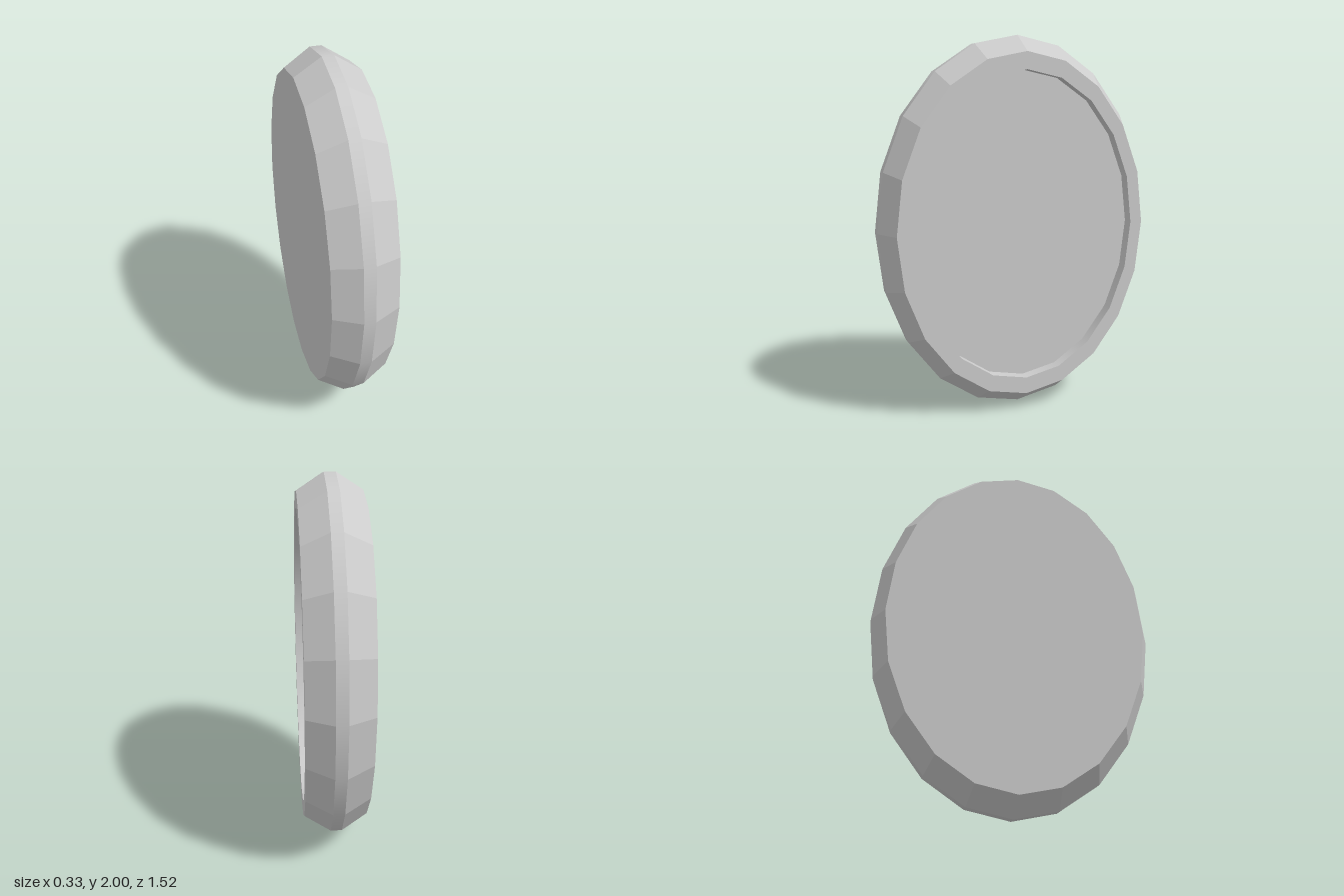
import * as THREE from 'three';

const SIDES = 20;
const DEPTH_RATIO = 0.76; // oval: z radius relative to y radius
const HALF = 0.167;       // half thickness along x
const FLOOR = 0.107;      // x of the recessed floor

const smooth = new THREE.MeshStandardMaterial({ color: 0xcccccc });
const faceted = new THREE.MeshStandardMaterial({ color: 0xcccccc, flatShading: true });

export function createModel() {
  const model = new THREE.Group();
  model.name = 'ovalDisc';

  const add = (name, geometry, material) => {
    geometry.scale(1, 1, DEPTH_RATIO);
    const mesh = new THREE.Mesh(geometry, material);
    mesh.name = name;
    mesh.position.y = 1;
    model.add(mesh);
  };

  // Ring around the x axis through [radius, x] points
  const ring = (name, points, material) => {
    const profile = points.map(([r, x]) => new THREE.Vector2(r, x));
    add(name, new THREE.LatheGeometry(profile, SIDES).rotateZ(-Math.PI / 2), material);
  };

  // Flat disc facing +x (dir 1) or -x (dir -1)
  const disc = (name, radius, x, dir) => {
    const geometry = new THREE.CircleGeometry(radius, SIDES);
    geometry.rotateY(dir * Math.PI / 2).translate(x, 0, 0);
    add(name, geometry, faceted);
  };

  // Outer edge: two faceted bevels with a smooth narrow band between
  ring('rightBevel', [[0.91, -HALF], [1, -0.03]], faceted);
  ring('edgeBand', [[1, -0.03], [1, 0.03]], smooth);
  ring('leftBevel', [[1, 0.03], [0.91, HALF]], faceted);

  // Raised rim and recessed floor on one face
  ring('rim', [[0.91, HALF], [0.82, HALF]], faceted);
  ring('recessWall', [[0.82, HALF], [0.82, FLOOR]], smooth);
  disc('recessFloor', 0.82, FLOOR, 1);

  // Plain flat face on the other side
  disc('flatFace', 0.91, -HALF, -1);

  return model;
}
